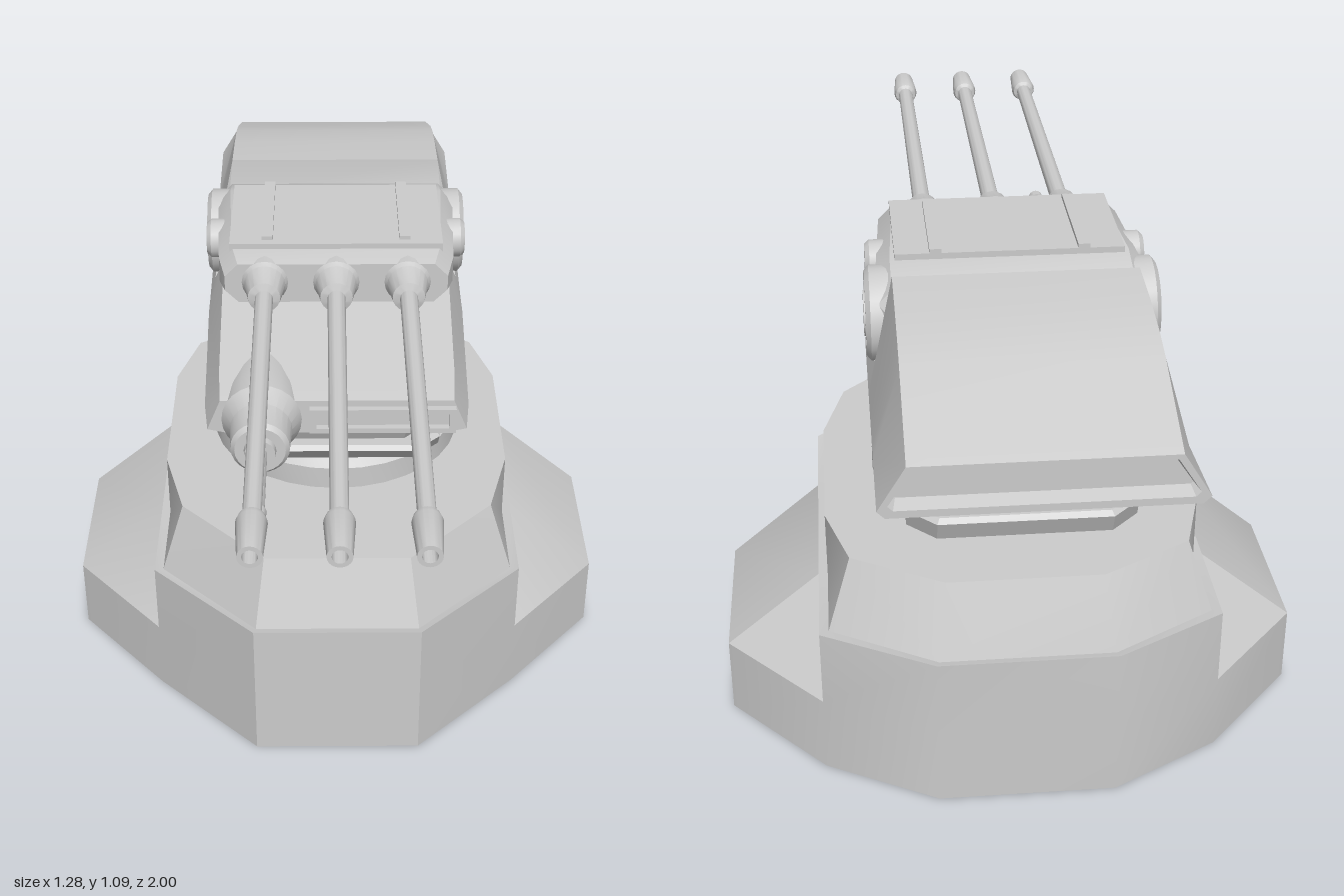
import * as THREE from 'three';
import { toCreasedNormals } from 'three/addons/utils/BufferGeometryUtils.js';

const material = new THREE.MeshStandardMaterial({ color: 0xcccccc, side: THREE.DoubleSide });

// Skin a list of rings (arrays of Vector3, counter-clockwise seen from the far end).
function loft(rings, { capStart = true, capEnd = true, crease = 0.4 } = {}) {
  const out = [];
  const tri = (...pts) => pts.forEach((p) => out.push(p.x, p.y, p.z));
  const n = rings[0].length;
  for (let r = 0; r < rings.length - 1; r++) {
    for (let i = 0; i < n; i++) {
      const j = (i + 1) % n;
      const a = rings[r][i], b = rings[r][j], c = rings[r + 1][j], d = rings[r + 1][i];
      // split each quad along its shorter diagonal
      if (a.distanceTo(c) <= b.distanceTo(d)) { tri(a, b, c); tri(a, c, d); }
      else { tri(a, b, d); tri(b, c, d); }
    }
  }
  const cap = (ring, flip) => {
    const mid = ring.reduce((s, p) => s.add(p), new THREE.Vector3()).divideScalar(n);
    ring.forEach((p, i) => {
      const q = ring[(i + 1) % n];
      if (flip) tri(mid, q, p); else tri(mid, p, q);
    });
  };
  if (capStart) cap(rings[0], true);
  if (capEnd) cap(rings[rings.length - 1], false);
  const g = new THREE.BufferGeometry();
  g.setAttribute('position', new THREE.Float32BufferAttribute(out, 3));
  return toCreasedNormals(g, crease);
}

// Horizontal ring from its +x half [x, z], listed front to back.
const levelRing = (y, half) => [
  ...half.map(([x, z]) => new THREE.Vector3(x, y, z)),
  ...[...half].reverse().map(([x, z]) => new THREE.Vector3(-x, y, z)),
];

// Upright ring from its +x half [x, y], listed bottom to top.
const uprightRing = (z, half) => [
  ...half.map(([x, y]) => new THREE.Vector3(x, y, z)),
  ...[...half].reverse().map(([x, y]) => new THREE.Vector3(-x, y, z)),
];

// Turned part from [radius, height] pairs with sharp profile edges.
const turned = (profile, sides = 24) =>
  toCreasedNormals(new THREE.LatheGeometry(profile.map(([r, h]) => new THREE.Vector2(r, h)), sides), 0.45);

export function createModel() {
  const model = new THREE.Group();
  const add = (name, geometry, x = 0, y = 0, z = 0, parent = model) => {
    const mesh = new THREE.Mesh(geometry, material);
    mesh.name = name;
    mesh.position.set(x, y, z);
    parent.add(mesh);
    return mesh;
  };

  // Hollow faceted base with side buttresses and an upper tier
  const foot = [[0.19, 0.43], [0.43, 0.2], [0.64, -0.04], [0.64, -0.42], [0.43, -0.65], [0.19, -0.78]];
  const shoulder = foot.map(([x, z]) => [Math.min(x, 0.43), z]);
  const tierFoot = [[0.185, 0.41], [0.41, 0.19], [0.41, -0.04], [0.41, -0.42], [0.41, -0.63], [0.185, -0.76]];
  const tierTop = [[0.165, 0.35], [0.36, 0.15], [0.41, -0.04], [0.41, -0.42], [0.36, -0.59], [0.165, -0.7]];
  const opening = tierTop.map(([x, z]) => [x * 0.55, -0.2 + (z + 0.2) * 0.45]);
  add('base', loft([
    levelRing(0, foot), levelRing(0.175, foot), levelRing(0.35, shoulder),
    levelRing(0.345, tierFoot), levelRing(0.5, tierTop), levelRing(0.5, opening),
  ], { capStart: false, capEnd: false, crease: 0.52 }));

  // Turning ring
  add('turningRing', turned([[0.3, 0.5], [0.3, 0.555], [0.27, 0.58], [0.22, 0.58], [0.22, 0.61]], 32), 0, 0, -0.22);

  // Stepped turret collar: [y, half width, front z, back z]
  const collarRing = ([y, w, f, b]) => levelRing(y, [[w - 0.06, f], [w, f - 0.06], [w, b + 0.06], [w - 0.06, b]]);
  [
    [[0.595, 0.24, 0.09, -0.68], [0.64, 0.24, 0.13, -0.7], [0.65, 0.235, 0.12, -0.69]],
    [[0.645, 0.215, 0.09, -0.67], [0.705, 0.225, 0.12, -0.7]],
    [[0.7, 0.24, 0.13, -0.71], [0.76, 0.25, 0.16, -0.73]],
  ].forEach((steps, i) => add(`collarStep${i + 1}`, loft(steps.map(collarRing))));

  // Hull with raised rear hood and trunnion notch: [z, bottom y, w, crease y, w, top y, w]
  const hullSections = [
    [-0.97, 0.875, 0.27, 0.88, 0.275, 0.94, 0.235],
    [-1.0, 0.865, 0.275, 0.875, 0.285, 0.945, 0.24],
    [-1.0, 0.85, 0.29, 0.865, 0.305, 0.955, 0.25],
    [-0.78, 0.775, 0.27, 0.845, 0.305, 1.04, 0.25],
    [-0.71, 0.755, 0.26, 0.84, 0.305, 1.06, 0.25],
    [-0.6, 0.755, 0.255, 0.835, 0.305, 1.077, 0.25],
    [-0.475, 0.755, 0.25, 0.825, 0.305, 1.087, 0.25],
    [-0.47, 0.755, 0.25, 0.825, 0.305, 1.0, 0.26],
    [-0.42, 0.755, 0.25, 0.82, 0.305, 0.87, 0.29],
    [-0.28, 0.755, 0.25, 0.81, 0.305, 0.87, 0.29],
    [-0.22, 0.755, 0.25, 0.81, 0.305, 0.945, 0.265],
    [0.16, 0.755, 0.245, 0.787, 0.295, 0.875, 0.26],
    [0.25, 0.772, 0.24, 0.782, 0.285, 0.855, 0.255],
  ];
  add('hull', loft(hullSections.map(([z, yb, wb, ym, wm, yt, wt]) =>
    uprightRing(z, [[wb, yb], [wm, ym], [wt, yt]])), { crease: 0.35 }));

  // Framed slot in the hull front
  const frame = new THREE.Shape([[-0.16, -0.03], [0.16, -0.03], [0.16, 0.03], [-0.16, 0.03]]
    .map(([x, y]) => new THREE.Vector2(x, y)));
  frame.holes.push(new THREE.Path([[-0.145, -0.018], [-0.145, 0.018], [0.145, 0.018], [0.145, -0.018]]
    .map(([x, y]) => new THREE.Vector2(x, y))));
  add('frontSlotFrame', new THREE.ExtrudeGeometry(frame, { depth: 0.02, bevelEnabled: false }), 0.1, 0.81, 0.245);

  // Gun housing: [z, half width, low y, high y]
  const housing = [[-0.47, 0.25, 0.95, 1.02], [-0.44, 0.28, 0.94, 1.04], [-0.34, 0.28, 0.93, 1.07],
    [-0.06, 0.265, 0.95, 1.07], [0.0, 0.25, 0.96, 1.055]];
  add('gunHousing', loft(housing.map(([z, w, lo, hi]) =>
    uprightRing(z, [[w - 0.03, lo], [w, lo + 0.03], [w, hi - 0.03], [w - 0.03, hi]]))));
  add('housingTopPlate', new THREE.BoxGeometry(0.48, 0.02, 0.3), 0, 1.07, -0.2);
  for (const x of [-0.155, 0.155]) add('housingRib', new THREE.BoxGeometry(0.025, 0.014, 0.28), x, 1.082, -0.21);

  // Three long barrels with collars and muzzles
  const barrel = turned([[0, -0.05], [0.052, -0.05], [0.052, 0], [0.046, 0.01], [0.036, 0.07], [0.02, 0.075],
    [0.018, 0.88], [0.026, 0.885], [0.03, 0.9], [0.024, 1.0], [0.015, 1.0], [0.015, 0.96], [0, 0.96]], 20)
    .rotateX(Math.PI / 2);
  for (const x of [-0.16, 0, 0.16]) add('mainBarrel', barrel, x, 1.01, 0);

  // Trunnion discs and smaller pivots on both sides
  const disc = turned([[0.1, 0], [0.1, 0.055], [0.088, 0.065], [0.07, 0.065], [0.068, 0.055], [0.05, 0.055],
    [0.048, 0.068], [0, 0.068]], 28);
  const pivot = turned([[0.045, 0], [0.045, 0.05], [0.036, 0.06], [0, 0.06]], 20);
  for (const side of [-1, 1]) {
    add('trunnionDisc', disc, side * 0.24, 0.955, -0.36).rotation.z = -side * Math.PI / 2;
    add('pivotCap', pivot, side * 0.24, 1.01, -0.215).rotation.z = -side * Math.PI / 2;
  }

  // Small gun pod on the front right of the hull
  const pod = new THREE.Group();
  pod.name = 'gunPod';
  pod.position.set(-0.165, 0.807, 0);
  model.add(pod);
  add('podBody', turned([[0.05, -0.1], [0.08, 0.1], [0.088, 0.2], [0.088, 0.25], [0.068, 0.29], [0.064, 0.36],
    [0.055, 0.37], [0.035, 0.37], [0.033, 0.385], [0, 0.385]], 24).rotateX(Math.PI / 2), 0, 0, 0, pod);
  add('podBarrel', turned([[0.016, 0.37], [0.016, 0.59], [0.02, 0.59], [0.018, 0.62], [0.01, 0.62], [0, 0.6]], 14)
    .rotateX(Math.PI / 2), 0, 0, 0, pod);
  for (const [y, end] of [[0.038, 0.48], [-0.035, 0.44]]) {
    add('podRod', new THREE.CylinderGeometry(0.006, 0.006, end - 0.35, 10).rotateX(Math.PI / 2),
      0, y, (end + 0.35) / 2, pod);
  }

  return model;
}
